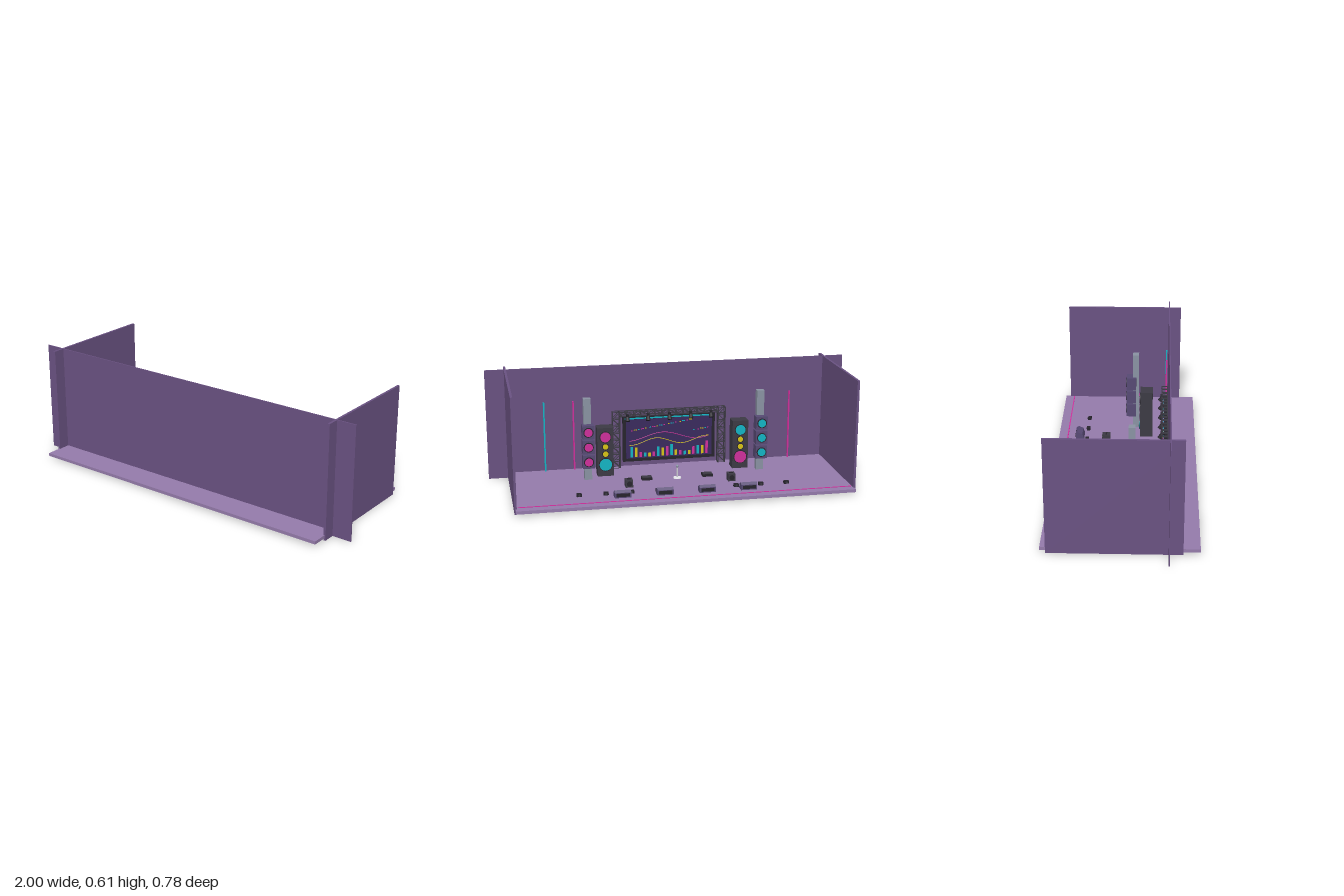
import * as THREE from 'three';

const C = { wall: 0x6a5282, floor: 0x957bab, dark: 0x3c3a44, black: 0x26242c, box: 0x574a74,
  steel: 0x8a93a3, white: 0xe8e8ee, teal: 0x12b5c4, pink: 0xd02f9c, yellow: 0xd9c415, display: 0x3a2a5e };
const mats = {};
const mat = c => (mats[c] ??= new THREE.MeshStandardMaterial({ color: C[c] }));
const FLOOR = 0.029;

function add(parent, name, geo, color, x, y, z) {
  const m = new THREE.Mesh(geo, mat(color));
  m.name = name;
  m.position.set(x, y, z);
  parent.add(m);
  return m;
}
const box = (p, name, color, w, h, d, x, y, z) => add(p, name, new THREE.BoxGeometry(w, h, d), color, x, y, z);
// Disc facing the audience (-z)
function disc(p, name, color, r, depth, x, y, z) {
  return add(p, name, new THREE.CylinderGeometry(r, r, depth, 20).rotateX(Math.PI / 2), color, x, y, z);
}
// Thin bar between two points
function bar(p, name, color, a, b, t) {
  const d = new THREE.Vector3().subVectors(b, a);
  const m = box(p, name, color, t, d.length(), t, 0, 0, 0);
  m.position.addVectors(a, b).multiplyScalar(0.5);
  m.quaternion.setFromUnitVectors(new THREE.Vector3(0, 1, 0), d.normalize());
}
function group(parent, name) {
  const g = new THREE.Group();
  g.name = name;
  parent.add(g);
  return g;
}
// Square lattice truss from a to b, s = section width, dir = in-plane cross direction
function truss(parent, name, a, b, s, dir, cells) {
  const g = group(parent, name), t = 0.005;
  const pt = (k, u, w) => new THREE.Vector3().lerpVectors(a, b, k)
    .addScaledVector(dir, u * s / 2).add(new THREE.Vector3(0, 0, w * 0.015));
  for (const w of [-1, 1]) {
    for (const u of [-1, 1]) bar(g, 'chord', 'dark', pt(0, u, w), pt(1, u, w), t);
    for (let i = 0; i <= cells; i++) {
      bar(g, 'rung', 'dark', pt(i / cells, -1, w), pt(i / cells, 1, w), t * 0.8);
      if (i < cells) bar(g, 'brace', 'dark', pt(i / cells, i % 2 ? 1 : -1, w), pt((i + 1) / cells, i % 2 ? -1 : 1, w), t * 0.7);
    }
  }
  for (let i = 0; i <= cells; i++)
    for (const u of [-1, 1]) bar(g, 'tie', 'dark', pt(i / cells, u, -1), pt(i / cells, u, 1), t * 0.8);
}

function buildScreen(root) {
  const g = group(root, 'videoScreen');
  const V = (x, y, z) => new THREE.Vector3(x, y, z);
  for (const s of [-1, 1]) truss(g, 'trussTower', V(s * 0.297, FLOOR, 0.212), V(s * 0.297, 0.35, 0.212), 0.04, V(1, 0, 0), 8);
  truss(g, 'topTruss', V(-0.277, 0.337, 0.212), V(0.277, 0.337, 0.212), 0.024, V(0, 1, 0), 14);
  box(g, 'screenFrame', 'black', 0.52, 0.26, 0.016, 0, 0.19, 0.217);
  box(g, 'display', 'display', 0.485, 0.225, 0.003, 0, 0.19, 0.208);
  box(g, 'topGlowStrip', 'teal', 0.5, 0.007, 0.004, 0, 0.308, 0.207);

  // Lamps under the top truss
  for (const x of [-0.235, -0.12, 0, 0.12, 0.235]) {
    box(g, 'lampYoke', 'black', 0.014, 0.02, 0.014, x, 0.327, 0.196);
    const lamp = add(g, 'lamp', new THREE.CylinderGeometry(0.009, 0.013, 0.03, 12), 'black', x, 0.312, 0.193);
    lamp.rotation.x = 0.5;
  }
  // Equalizer bars
  const cols = ['pink', 'teal', 'yellow'];
  for (let i = 0; i < 18; i++) {
    const h = 0.02 + 0.028 * (1 + Math.sin(i * 0.75 + 1)) * (0.7 + 0.3 * Math.cos(i * 2.3));
    box(g, 'equalizerBar', cols[(i * 2) % 3], 0.014, h, 0.003, -0.213 + i * 0.025, 0.085 + h / 2, 0.2055);
  }
  // Wave lines
  [['yellow', 0.172, 0.018, 22, 0], ['pink', 0.2, 0.022, 16, 1]].forEach(([c, y, a, f, p]) => {
    const pts = Array.from({ length: 25 }, (_, i) => {
      const x = -0.225 + i * 0.01875;
      return V(x, y + a * Math.sin(f * x + p), 0.2055);
    });
    add(g, 'waveLine', new THREE.TubeGeometry(new THREE.CatmullRomCurve3(pts), 48, 0.002, 5), c, 0, 0, 0);
  });
  // Scattered light dots
  for (let i = 0; i < 30; i++)
    box(g, 'lightDot', cols[i % 3], 0.008, 0.005, 0.003, -0.22 + ((i * 0.618) % 1) * 0.44, 0.225 + ((i * 0.381 + 0.2) % 1) * 0.065, 0.2055);
}

function buildSpeakers(root, s) {
  const main = s > 0 ? 'pink' : 'teal', other = s > 0 ? 'teal' : 'pink';
  // Column with three hung speakers
  const g = group(root, 'speakerTower');
  box(g, 'column', 'steel', 0.04, 0.45, 0.034, s * 0.475, FLOOR + 0.225, 0.048);
  for (let i = 0; i < 3; i++) {
    const y = 0.14 + i * 0.082;
    box(g, 'hungSpeaker', 'box', 0.064, 0.074, 0.055, s * 0.475, y, 0.022);
    disc(g, 'speakerRim', 'black', 0.027, 0.005, s * 0.475, y, -0.006);
    disc(g, 'speakerCone', main, 0.022, 0.005, s * 0.475, y, -0.008);
  }
  // Floor cabinet
  const c = group(root, 'speakerCabinet');
  box(c, 'cabinet', 'dark', 0.088, 0.272, 0.07, s * 0.375, FLOOR + 0.136, 0.11);
  [[0.25, 0.028, main], [0.196, 0.015, 'yellow'], [0.155, 0.015, 'yellow'], [0.095, 0.034, other]].forEach(([y, r, col]) => {
    disc(c, 'coneRim', 'black', r + 0.004, 0.005, s * 0.375, y, 0.074);
    disc(c, 'cone', col, r, 0.005, s * 0.375, y, 0.072);
  });
}

function buildFloorGear(root) {
  // Wedge monitors, slanted toward the performers
  const prof = new THREE.Shape([[-0.024, 0], [0.024, 0], [0.024, 0.028], [0.012, 0.04], [-0.014, 0.028]].map(p => new THREE.Vector2(...p)));
  const wedge = new THREE.ExtrudeGeometry(prof, { depth: 0.086, bevelEnabled: false })
    .translate(0, 0, -0.043).rotateY(Math.PI / 2);
  for (const x of [-0.335, -0.112, 0.112, 0.335]) {
    add(root, 'stageMonitor', wedge, 'box', x, FLOOR, -0.267);
    box(root, 'monitorGrille', 'black', 0.07, 0.018, 0.003, x, FLOOR + 0.015, -0.291);
  }
  for (const s of [-1, 1]) {
    // Small floor lights
    for (const x of [0.14, 0.28, 0.415, 0.555]) {
      box(root, 'floorLight', 'black', 0.026, 0.015, 0.02, s * x, FLOOR + 0.0075, -0.225);
      disc(root, 'floorLightLens', 'dark', 0.006, 0.004, s * x, FLOOR + 0.008, -0.236);
    }
    // Amplifiers and pedal boards
    box(root, 'amplifier', 'dark', 0.04, 0.04, 0.045, s * 0.278, FLOOR + 0.02, -0.115);
    disc(root, 'amplifierCone', 'black', 0.014, 0.004, s * 0.278, FLOOR + 0.02, -0.138);
    box(root, 'amplifierHandle', 'black', 0.02, 0.005, 0.008, s * 0.278, FLOOR + 0.042, -0.115);
    box(root, 'pedalBoard', 'black', 0.056, 0.014, 0.04, s * 0.167, FLOOR + 0.007, -0.02);
    box(root, 'pedalTop', 'dark', 0.05, 0.006, 0.028, s * 0.167, FLOOR + 0.016, -0.024);
  }
  // Microphone
  const m = group(root, 'microphone');
  add(m, 'base', new THREE.CylinderGeometry(0.02, 0.022, 0.006, 24), 'white', 0, FLOOR + 0.003, -0.03);
  add(m, 'stand', new THREE.CylinderGeometry(0.003, 0.003, 0.06, 10), 'white', 0, FLOOR + 0.035, -0.03);
  add(m, 'head', new THREE.SphereGeometry(0.008, 14, 10), 'steel', 0, FLOOR + 0.068, -0.03);
}

export function createModel() {
  const root = new THREE.Group();
  root.name = 'concertStage';
  // Shell
  box(root, 'floor', 'floor', 1.78, 0.017, 0.776, 0, 0.0205, 0);
  box(root, 'backWall', 'wall', 2, 0.61, 0.006, 0, 0.305, 0.237);
  for (const s of [-1, 1]) box(root, 'sideWall', 'wall', 0.012, 0.61, 0.665, s * 0.89, 0.305, -0.0275);
  // Neon strips on the wall and floor edge
  for (const [x, c] of [[0.69, 'teal'], [0.53, 'pink'], [-0.53, 'teal'], [-0.69, 'pink']])
    box(root, 'neonTube', c, 0.008, 0.39, 0.008, x, FLOOR + 0.195, 0.222);
  box(root, 'floorNeon', 'pink', 1.76, 0.003, 0.006, 0, FLOOR + 0.001, -0.338);

  buildScreen(root);
  for (const s of [-1, 1]) buildSpeakers(root, s);
  buildFloorGear(root);
  return root;
}
